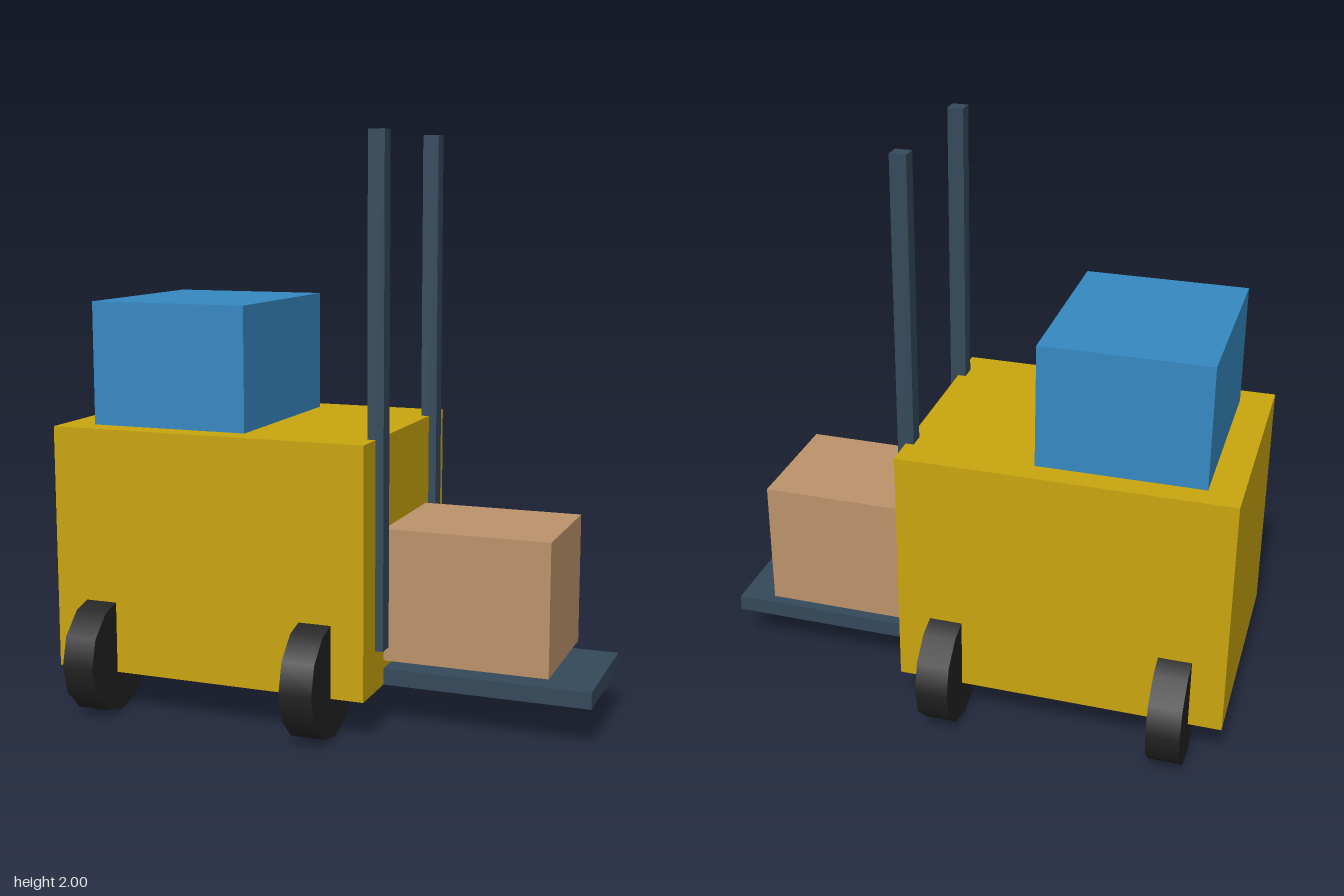
import * as THREE from 'three';

const mat = (name, color) => new THREE.MeshStandardMaterial({ name, color });

export function createModel() {
  const yellow = mat('yellow body', 0xc9a50e);
  const blue = mat('blue cab', 0x3588c1);
  const steel = mat('dark steel', 0x34495a);
  const cardboard = mat('cardboard', 0xbb936a);
  const rubber = mat('black rubber', 0x222222);

  const group = new THREE.Group();
  group.name = 'forklift';

  const add = (name, geometry, material, x, y, z) => {
    const mesh = new THREE.Mesh(geometry, material);
    mesh.name = name;
    mesh.position.set(x, y, z);
    group.add(mesh);
  };
  const box = (name, material, size, pos) =>
    add(name, new THREE.BoxGeometry(...size), material, ...pos);

  // Chassis with the cab on top
  box('body', yellow, [1.143, 0.857, 0.857], [-0.357, 0.5715, 0]);
  box('cab', blue, [0.571, 0.429, 0.686], [-0.529, 1.2145, 0]);

  // Lifting platform and its load
  box('fork', steel, [0.857, 0.057, 0.457], [0.5, 0.1715, 0]);
  box('crate', cardboard, [0.571, 0.457, 0.457], [0.5, 0.457, 0]);

  // Twelve-sided wheels, turning about the x axis
  const wheel = new THREE.CylinderGeometry(0.2, 0.2, 0.114, 12).rotateZ(Math.PI / 2);

  // Masts and wheels, mirrored front to back
  for (const side of [1, -1]) {
    box('mast', steel, [0.057, 1.714, 0.057], [0.214, 1.143, side * 0.286]);
    for (const x of [-0.757, 0.043]) add('wheel', wheel, rubber, x, 0.2, side * 0.4);
  }
  return group;
}
